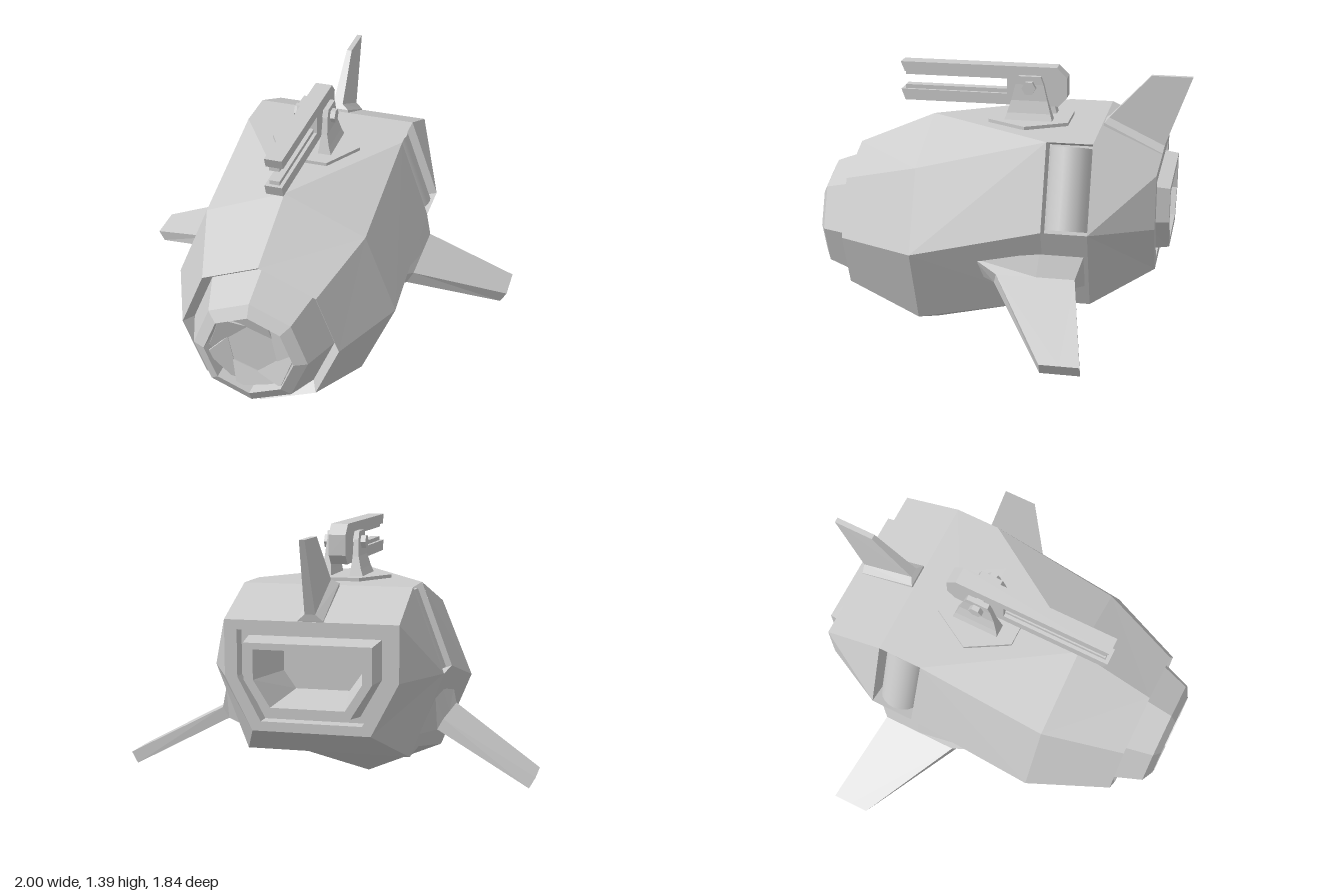
import * as THREE from 'three';

const flat = new THREE.MeshStandardMaterial({ color: 0xcccccc, flatShading: true });
const smooth = new THREE.MeshStandardMaterial({ color: 0xcccccc });

function add(parent, name, geometry, material = flat) {
  const mesh = new THREE.Mesh(geometry, material);
  mesh.name = name;
  parent.add(mesh);
  return mesh;
}

// Skin a row of rings (clockwise when looking along the row) with flat faces
function loft(rings, { capStart, capEnd, mirror, skip = () => false } = {}) {
  const out = [];
  const tri = (a, b, c) => {
    for (const p of mirror ? [a, c, b] : [a, b, c]) out.push(mirror ? -p[0] : p[0], p[1], p[2]);
  };
  const n = rings[0].length;
  for (let i = 0; i < rings.length - 1; i++) {
    const A = rings[i], B = rings[i + 1];
    for (let j = 0; j < n; j++) {
      if (skip(i, j)) continue;
      const k = (j + 1) % n;
      if (j % 2 === 0) { tri(A[j], A[k], B[k]); tri(A[j], B[k], B[j]); }
      else { tri(A[j], A[k], B[j]); tri(A[k], B[k], B[j]); }
    }
  }
  const cap = (ring, flip) => {
    const c = [0, 1, 2].map((d) => ring.reduce((s, p) => s + p[d], 0) / n);
    ring.forEach((p, j) => {
      const q = ring[(j + 1) % n];
      if (flip) tri(c, q, p); else tri(c, p, q);
    });
  };
  if (capStart) cap(rings[0], true);
  if (capEnd) cap(rings[rings.length - 1], false);
  const g = new THREE.BufferGeometry();
  g.setAttribute('position', new THREE.Float32BufferAttribute(out, 3));
  g.computeVertexNormals();
  return g;
}

// Symmetric eight-sided section: top, upper corner, side, lower corner, bottom
function section(z, top, [ux, uy], [sx, sy], [lx, ly], bottom) {
  return [[0, top, z], [ux, uy, z], [sx, sy, z], [lx, ly, z], [0, bottom, z],
    [-lx, ly, z], [-sx, sy, z], [-ux, uy, z]];
}
const octagon = (z, r) => section(z, 0.56 + r, [r * 0.71, 0.56 + r * 0.71], [r, 0.56],
  [r * 0.71, 0.56 - r * 0.71], 0.56 - r);
const body = (z) => section(z, 1.12, [0.41, 1.12], [0.56, 0.72], [0.4, 0.31], 0.31);
const stern = (z, top, w, low, bottom) => section(z, top, [w, top], [w, 0.72], [low, bottom], bottom);

// Four-cornered ring for parts that rise along y
const rising = (x0, x1, zBack, yBack, zFront, yFront) => [
  [x1, yBack, zBack], [x0, yBack, zBack], [x0, yFront, zFront], [x1, yFront, zFront]];

function addTurret(root) {
  const turret = new THREE.Group();
  turret.name = 'turret';
  turret.position.z = -0.13;
  root.add(turret);

  const plate = add(turret, 'turretBase', new THREE.CylinderGeometry(0.229, 0.229, 0.025, 6));
  plate.position.y = 1.124;
  plate.rotation.y = Math.PI / 6;

  // Flared brackets on both sides of the gun
  for (const mirror of [false, true]) {
    const rows = [[1.13, 0.045, 0.115, 0.12], [1.17, 0.05, 0.1, 0.108], [1.23, 0.055, 0.085, 0.09],
      [1.31, 0.055, 0.08, 0.07], [1.35, 0.055, 0.08, 0.055]];
    add(turret, mirror ? 'rightBracket' : 'leftBracket', loft(
      rows.map(([y, x0, x1, h]) => rising(x0, x1, -h, y, h, y)), { mirror, capStart: true, capEnd: true }));
  }
  const pin = add(turret, 'pivotPin', new THREE.CylinderGeometry(0.035, 0.035, 0.21, 6));
  pin.rotation.z = Math.PI / 2;
  pin.position.y = 1.295;

  // Forked gun, drawn from the side
  const outline = [[0.53, 1.39], [-0.26, 1.39], [-0.31, 1.34], [-0.31, 1.24], [-0.27, 1.195],
    [0.51, 1.195], [0.53, 1.25], [-0.01, 1.25], [-0.01, 1.34], [0.51, 1.34]];
  const gun = add(turret, 'gun', new THREE.ExtrudeGeometry(
    new THREE.Shape(outline.map(([z, y]) => new THREE.Vector2(z, y))), { depth: 0.084, bevelEnabled: false }));
  gun.rotation.y = -Math.PI / 2;
  gun.position.set(0.042, 0, 0.13);
  for (const y of [1.332, 1.26]) {
    add(turret, 'gunRailStrip', new THREE.BoxGeometry(0.05, 0.02, 0.52)).position.set(0, y, 0.38);
  }
}

function addIris(root) {
  // Six shutter blades sloping inward to a hexagonal opening
  const iris = new THREE.Group();
  iris.name = 'iris';
  iris.position.set(0, 0.56, 0.82);
  root.add(iris);
  const r = 0.135, at = (a) => new THREE.Vector2(Math.cos(a) * r, Math.sin(a) * r);
  const p = at(0), q = at(Math.PI / 3), s = at(-Math.PI / 3);
  const beyond = (from, through) => through.clone().addScaledVector(through.clone().sub(from), 1);
  const shape = new THREE.Shape([p, beyond(s, p), beyond(p, q), q]);
  for (let i = 0; i < 6; i++) {
    const blade = add(iris, 'irisBlade', new THREE.ExtrudeGeometry(shape, { depth: 0.008, bevelEnabled: false }));
    blade.geometry.rotateZ(-Math.PI / 6).rotateY(-0.3);
    blade.rotation.z = (i * Math.PI) / 3 + 0.2;
  }
}

export function createModel() {
  const root = new THREE.Group();
  root.name = 'spacePod';

  // Hull, from the front lip back to the stern recess
  add(root, 'hull', loft([
    octagon(0.7, 0.35), octagon(0.76, 0.39),
    section(0.37, 1.12, [0.4, 0.95], [0.56, 0.56], [0.4, 0.17], 0),
    body(-0.27), body(-0.49),
    stern(-0.79, 0.985, 0.41, 0.28, 0.47),
    stern(-0.79, 0.94, 0.35, 0.24, 0.515),
    stern(-0.72, 0.94, 0.35, 0.24, 0.515),
  ], { skip: (i, j) => i === 3 && (j === 1 || j === 6) }));

  // Nose with a recessed mouth
  add(root, 'nose', loft([octagon(0.81, 0.215), octagon(0.92, 0.22), octagon(0.89, 0.28), octagon(0.69, 0.355)],
    { capStart: true }));
  addIris(root);

  // Stern nozzle with a tapering funnel
  add(root, 'nozzle', loft([
    stern(-0.72, 0.94, 0.35, 0.24, 0.515),
    stern(-0.72, 0.905, 0.315, 0.215, 0.545),
    stern(-0.85, 0.89, 0.3, 0.2, 0.56),
    stern(-0.85, 0.86, 0.255, 0.175, 0.595),
    stern(-0.58, 0.82, 0.19, 0.13, 0.635),
  ], { capEnd: true }));

  // Recessed rollers set into the upper flanks
  const bayRing = (x) => [[x, 0.2136, 0.11], [x, 0.2136, -0.11], [x, -0.2136, -0.11], [x, -0.2136, 0.11]];
  for (const side of [1, -1]) {
    const bay = new THREE.Group();
    bay.name = side > 0 ? 'leftRollerBay' : 'rightRollerBay';
    bay.position.set(0.485 * side, 0.92, -0.38);
    bay.rotation.set(0, side > 0 ? 0 : Math.PI, 0.359);
    root.add(bay);
    add(bay, 'bayWalls', loft([bayRing(-0.12), bayRing(0)], { capStart: true }));
    add(bay, 'roller', new THREE.CylinderGeometry(0.105, 0.105, 0.395, 24), smooth).position.x = -0.112;
  }

  // Drooping swept wings with flared roots
  const wing = [
    [[0.518, 0.597, -0.47], [0.518, 0.597, -0.26], [0.515, 0.55, 0.06],
      [0.46, 0.45, 0.05], [0.44, 0.42, -0.26], [0.44, 0.42, -0.47]],
    [[0.55, 0.492, -0.435], [0.55, 0.492, -0.25], [0.55, 0.492, -0.055],
      [0.52, 0.438, -0.04], [0.52, 0.438, -0.25], [0.52, 0.438, -0.43]],
    [[1, 0.26, -0.525], [1, 0.26, -0.43], [1, 0.26, -0.34],
      [0.97, 0.205, -0.34], [0.97, 0.205, -0.43], [0.97, 0.205, -0.525]],
  ];
  add(root, 'leftWing', loft(wing, { capStart: true, capEnd: true }));
  add(root, 'rightWing', loft(wing, { capStart: true, capEnd: true, mirror: true }));

  // Tail fin
  add(root, 'tailFin', loft([
    rising(-0.062, 0.062, -0.785, 0.97, -0.495, 1.11),
    rising(-0.06, 0.06, -0.79, 0.99, -0.5, 1.13),
    rising(-0.025, 0.025, -0.796, 1.02, -0.52, 1.15),
    rising(-0.013, 0.013, -0.92, 1.365, -0.72, 1.365),
  ], { capStart: true, capEnd: true }));

  addTurret(root);
  return root;
}
